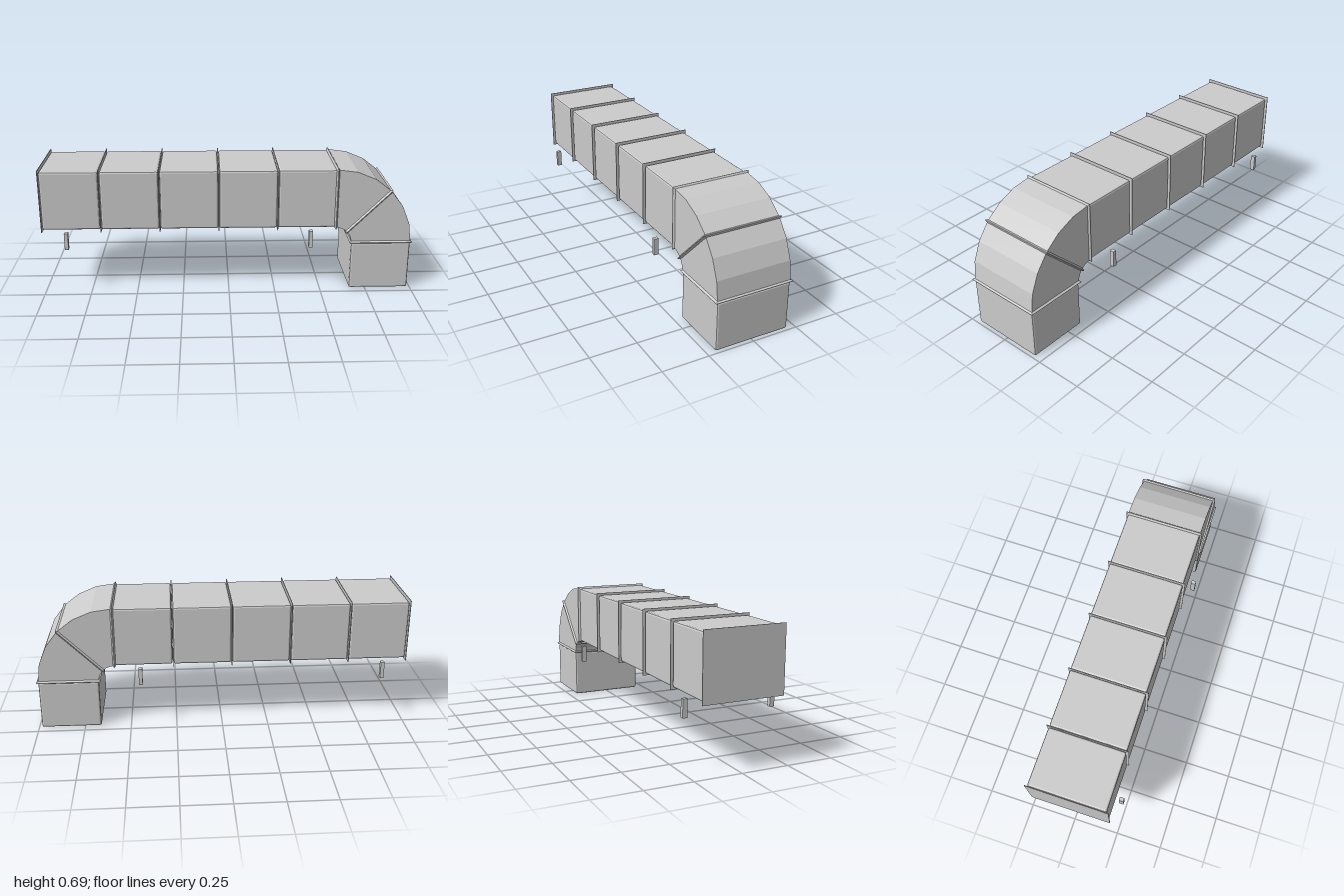
import * as THREE from 'three';
import { RoundedBoxGeometry } from 'three/addons/geometries/RoundedBoxGeometry.js';

const material = new THREE.MeshStandardMaterial({ color: 0xcccccc, flatShading: true });

export function createModel() {
  const model = new THREE.Group();
  const add = (name, geometry, x, y, z, parent = model) => {
    const mesh = new THREE.Mesh(geometry, material);
    mesh.name = name;
    mesh.position.set(x, y, z);
    parent.add(mesh);
    return mesh;
  };

  const pitch = 0.315, width = 0.41, midY = 0.518;
  const bend = new THREE.Vector2(0.575, 0.27); // centre of the elbow's curve
  const inner = 0.087, outer = 0.41;

  // Straight run: five chamfered sections with a thin flange before each
  const section = new RoundedBoxGeometry(0.309, 0.32, width, 1, 0.01);
  const flange = new THREE.BoxGeometry(0.004, 0.343, 0.43);
  for (let i = 0; i < 5; i++) {
    const x = -0.998 + i * pitch;
    add('flange', flange, x, midY, 0);
    add('ductSection', section, x + pitch / 2, midY, 0);
  }

  // Elbow: two wedge halves with three facets each
  const elbow = new THREE.Group();
  elbow.name = 'elbow';
  elbow.position.set(bend.x, bend.y, 0);
  model.add(elbow);
  for (let half = 0; half < 2; half++) {
    const start = half * Math.PI / 4, points = [];
    const arc = (radius, i) => {
      const a = start + i * Math.PI / 12;
      points.push(new THREE.Vector2(radius * Math.cos(a), radius * Math.sin(a)));
    };
    for (let i = 0; i <= 3; i++) arc(outer, i);
    for (let i = 3; i >= 0; i--) arc(inner, i);
    const wedge = new THREE.ExtrudeGeometry(new THREE.Shape(points), { depth: width, bevelEnabled: false });
    wedge.translate(0, 0, -width / 2);
    add('elbowHalf', wedge, 0, 0, 0, elbow);
  }

  // Collars with a pointed rim at both ends and the middle of the elbow
  const rim = new THREE.Shape([
    new THREE.Vector2(0.089, -0.205), new THREE.Vector2(0.408, -0.205),
    new THREE.Vector2(0.408, 0.205), new THREE.Vector2(0.089, 0.205)]);
  const collar = new THREE.ExtrudeGeometry(rim, {
    depth: 0.002, bevelThickness: 0.007, bevelSize: 0.01, bevelSegments: 1 });
  collar.translate(0, 0, -0.001);
  collar.rotateX(-Math.PI / 2);
  for (let i = 0; i < 3; i++) {
    add('collar', collar, 0, 0, 0, elbow).rotation.z = i * Math.PI / 4;
  }

  // Downward outlet
  add('outlet', new RoundedBoxGeometry(0.323, 0.266, width, 1, 0.01), 0.8235, 0.133, 0);

  // Support posts beside the run
  const post = new THREE.BoxGeometry(0.02, 0.092, 0.025);
  for (const x of [-0.865, 0.437]) {
    for (const side of [-1, 1]) add('supportPost', post, x, 0.306, side * 0.234);
  }
  return model;
}
